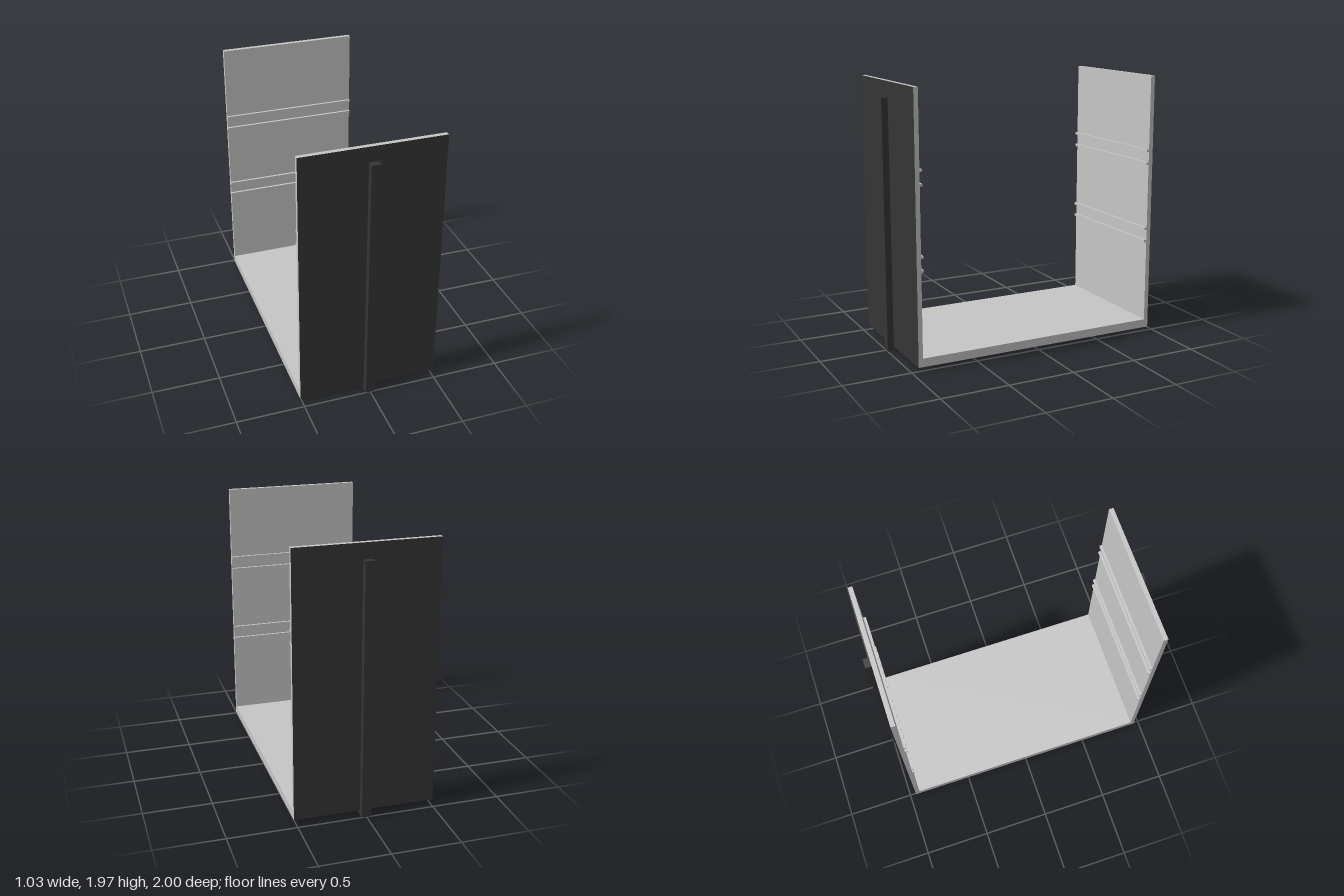
import * as THREE from 'three';

export function createModel() {
  const model = new THREE.Group();
  const grey = new THREE.MeshStandardMaterial({ color: 0xc6c6c6 });
  grey.name = 'lightGrey';
  const dark = new THREE.MeshStandardMaterial({ color: 0x353535 });
  dark.name = 'charcoal';

  const WIDTH = 1.03, BASE = 0.033, FLOOR = 0.096, TOP = 1.97;
  const INNER = 0.92, OUTER = 0.953;

  // Box given by its width in x and its limits in y and z
  function box(parent, name, material, width, y0, y1, z0, z1) {
    const mesh = new THREE.Mesh(new THREE.BoxGeometry(width, y1 - y0, z1 - z0), material);
    mesh.position.set(0, (y0 + y1) / 2, (z0 + z1) / 2);
    mesh.name = name;
    parent.add(mesh);
  }

  // Floor, dark underneath (face order: +x -x +y -y +z -z)
  box(model, 'floor', [grey, grey, grey, dark, grey, grey], WIDTH, BASE, FLOOR, -INNER, INNER);

  for (const end of ['front', 'back']) {
    const side = new THREE.Group();
    side.name = end + 'Side';

    // Upright panel, dark on the outside and underneath
    box(side, end + 'Wall', [grey, grey, grey, dark, dark, grey], WIDTH, BASE, TOP, INNER, OUTER);

    // Horizontal ribs across the inner face
    for (const y of [0.72, 0.817, 1.317, 1.414]) {
      box(side, end + 'Rib', grey, WIDTH, y - 0.009, y + 0.009, 0.901, INNER);
    }

    // L-shaped bracket: upright strut and foot under the floor
    box(side, end + 'Strut', dark, 0.068, 0, 1.857, OUTER, 1);
    box(side, end + 'Foot', dark, 0.068, 0, BASE, 0.633, OUTER);

    if (end === 'back') side.rotation.y = Math.PI;
    model.add(side);
  }
  return model;
}
